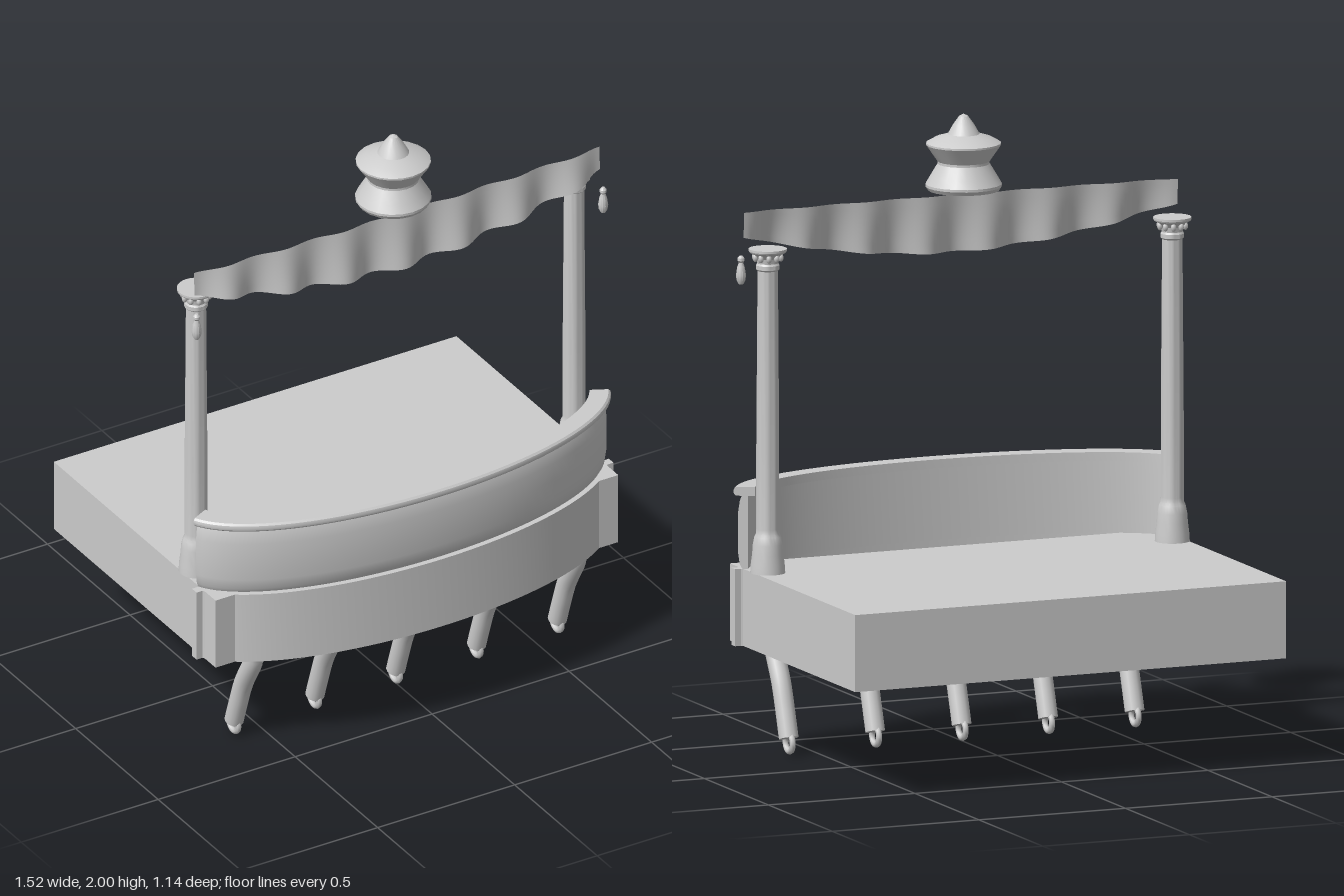
import * as THREE from 'three';
import { toCreasedNormals } from 'three/addons/utils/BufferGeometryUtils.js';

export function createModel() {
  const group = new THREE.Group();
  const stone = new THREE.MeshStandardMaterial({ color: 0xcccccc, side: THREE.DoubleSide });
  stone.name = 'pale grey';

  const add = (name, geo, x = 0, y = 0, z = 0, parent = group) => {
    const mesh = new THREE.Mesh(geo, stone);
    mesh.name = name;
    mesh.position.set(x, y, z);
    parent.add(mesh);
    return mesh;
  };
  const lathe = (pts, seg = 24) => toCreasedNormals(
    new THREE.LatheGeometry(pts.map(([r, y]) => new THREE.Vector2(r, y)), seg), 0.45);

  // Sweeps a counter-clockwise (outward offset, height) profile along the bowed front
  const bowed = (profile, t0 = 0.19, t1 = Math.PI - 0.19, steps = 48) => {
    const a = 0.745, b = 0.285, n = profile.length, pos = [], index = [];
    for (let i = 0; i <= steps; i++) {
      const t = t0 + (t1 - t0) * i / steps;
      const normal = new THREE.Vector2(Math.cos(t) / a, Math.sin(t) / b).normalize();
      for (const [r, y] of profile) {
        pos.push(a * Math.cos(t) + normal.x * r, y, 0.25 + b * Math.sin(t) + normal.y * r);
      }
    }
    for (let i = 0; i < steps; i++) {
      for (let j = 0; j < n; j++) {
        const p = i * n + j, q = i * n + (j + 1) % n;
        index.push(p, q, q + n, p, q + n, p + n);
      }
    }
    const e = steps * n;
    for (let j = 1; j < n - 1; j++) index.push(0, j + 1, j, e, e + j, e + j + 1);
    const geo = new THREE.BufferGeometry();
    geo.setAttribute('position', new THREE.Float32BufferAttribute(pos, 3));
    geo.setIndex(index);
    return toCreasedNormals(geo, 0.5);
  };

  // Platform slab
  add('platform', new THREE.BoxGeometry(1.47, 0.245, 0.98), 0, 0.4775, -0.082);

  // Bowed front: apron, parapet panel and rail
  add('frontApron', bowed([[-0.012, 0.355], [0.024, 0.355], [0.024, 0.6], [-0.012, 0.6]]));
  add('parapetPanel', bowed([[-0.012, 0.6], [0.006, 0.6], [0.014, 0.615], [0.019, 0.65],
    [0.02, 0.72], [0.019, 0.78], [0.014, 0.815], [0.008, 0.832], [-0.012, 0.832]]));
  add('parapetRail', bowed([[-0.034, 0.832], [0.026, 0.832], [0.032, 0.838], [0.034, 0.846],
    [0.032, 0.854], [0.026, 0.86], [-0.034, 0.86]]));

  // Columns, capitals, hanging drops and apron end posts on both sides
  const columnGeo = lathe([[0, 0], [0.055, 0], [0.053, 0.03], [0.049, 0.06], [0.047, 0.09],
    [0.042, 0.115], [0.037, 0.125], [0.036, 0.14], [0.036, 0.4], [0.032, 0.96], [0.037, 0.965],
    [0.037, 0.978], [0.033, 0.984], [0.036, 1.0], [0.045, 1.012], [0.058, 1.019],
    [0.06, 1.023], [0.06, 1.03], [0, 1.03]], 28);
  const dropGeo = lathe([[0, -0.048], [0.008, -0.046], [0.014, -0.034], [0.016, -0.018],
    [0.012, 0.008], [0.007, 0.022], [0.011, 0.028], [0.011, 0.036], [0.005, 0.044], [0, 0.045]], 12);
  const leafGeo = new THREE.SphereGeometry(0.009, 8, 6).scale(1, 1.5, 1);
  for (const s of [-1, 1]) {
    const side = s > 0 ? 'left' : 'right';
    const column = new THREE.Group();
    column.name = side + 'Column';
    column.position.set(s * 0.69, 0.6, 0.215);
    group.add(column);
    add('columnShaft', columnGeo, 0, 0, 0, column);
    for (let i = 0; i < 10; i++) {
      const a = i * Math.PI / 5;
      add('capitalLeaf', leafGeo, 0.042 * Math.cos(a), 1.003, 0.042 * Math.sin(a), column);
    }
    add(side + 'HangingDrop', dropGeo, s * 0.742, 1.552, 0.305);
    add(side + 'ApronPost', new THREE.BoxGeometry(0.022, 0.245, 0.028), s * 0.75, 0.4775, 0.322);
  }

  // Wavy valance with a curved lower edge
  const valance = new THREE.PlaneGeometry(1, 1, 112, 6);
  const p = valance.attributes.position;
  for (let i = 0; i < p.count; i++) {
    const u = p.getX(i) * 2, down = 0.5 - p.getY(i), x = u * 0.74;
    const bottom = 1.55 + 0.105 * Math.pow(Math.abs(u), 1.9);
    const wave = Math.cos(2 * Math.PI * x / 0.21) * (0.007 + 0.012 * down);
    p.setXYZ(i, x, 1.735 + (bottom - 1.735) * down,
      0.292 + 0.018 * (1 - u * u) + 0.016 * down + wave);
  }
  valance.computeVertexNormals();
  add('valance', valance);

  // Floating crown finial
  add('finial', lathe([[0, 1.758], [0.112, 1.758], [0.12, 1.77], [0.12, 1.778], [0.106, 1.802],
    [0.082, 1.842], [0.082, 1.85], [0.118, 1.902], [0.118, 1.908], [0.09, 1.924], [0.05, 1.936],
    [0.034, 1.965], [0.014, 1.993], [0, 2]], 20), 0, 0, 0.265);

  // Curved brackets ending in rings
  const path = new THREE.CatmullRomCurve3([[0.36, 0.405], [0.325, 0.395], [0.22, 0.338],
    [0.13, 0.305], [0.055, 0.28]].map(([y, z]) => new THREE.Vector3(0, y, z)));
  const legGeo = new THREE.TubeGeometry(path, 20, 0.031, 14);
  const end = path.getPoint(1), dir = path.getTangent(1);
  const capGeo = new THREE.CircleGeometry(0.031, 14).applyQuaternion(
    new THREE.Quaternion().setFromUnitVectors(new THREE.Vector3(0, 0, 1), dir));
  const ringGeo = new THREE.TorusGeometry(0.028, 0.01, 8, 20).rotateY(Math.PI / 2);
  for (let i = -2; i <= 2; i++) {
    const leg = new THREE.Group();
    leg.name = 'bracket' + (i + 3);
    leg.position.x = i * 0.295;
    group.add(leg);
    add('bracketArm', legGeo, 0, 0, 0, leg);
    add('bracketCap', capGeo, 0, end.y, end.z, leg);
    add('bracketRing', ringGeo, 0, 0.042, 0.277, leg);
  }
  return group;
}
